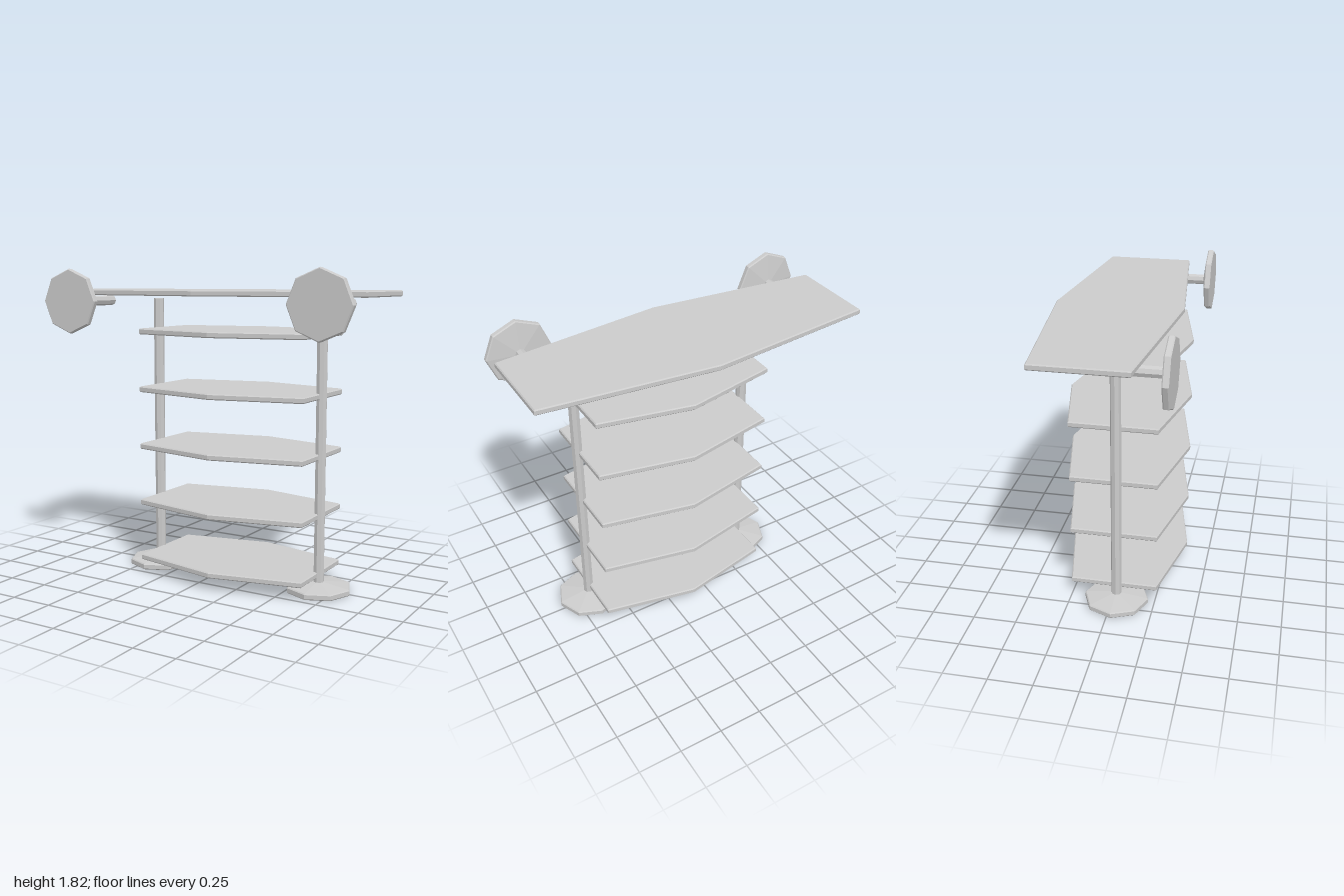
import * as THREE from 'three';

const material = new THREE.MeshStandardMaterial({ color: 0xcccccc, flatShading: true });

function addMesh(parent, name, geometry) {
  const mesh = new THREE.Mesh(geometry, material);
  mesh.name = name;
  parent.add(mesh);
  return mesh;
}

// Six-sided board: straight ends, pointed middle at front and back, softened rim
function boardGeometry(halfLength, endDepth, midDepth, thickness = 0.034, bevel = 0.006) {
  const shape = new THREE.Shape([
    [-halfLength, -endDepth], [0, -midDepth], [halfLength, -endDepth],
    [halfLength, endDepth], [0, midDepth], [-halfLength, endDepth],
  ].map(([x, y]) => new THREE.Vector2(x, y)));
  const geometry = new THREE.ExtrudeGeometry(shape, {
    depth: thickness - 2 * bevel,
    bevelThickness: bevel, bevelSize: bevel, bevelOffset: -bevel, bevelSegments: 1,
  });
  geometry.rotateX(Math.PI / 2);
  geometry.translate(0, thickness / 2 - bevel, 0);
  return geometry;
}

// Octagonal pole rising from a shallow cone-backed disc
function discPole(name, discName, poleName, length) {
  const group = new THREE.Group();
  group.name = name;
  const profile = [
    [0, 0], [0.184, 0], [0.19, 0.006], [0.19, 0.03], [0.184, 0.036], [0.03, 0.056], [0, 0.056],
  ].map(([r, y]) => new THREE.Vector2(r, y));
  addMesh(group, discName, new THREE.LatheGeometry(profile, 8));
  const pole = addMesh(group, poleName, new THREE.CylinderGeometry(0.031, 0.031, length - 0.04, 8));
  pole.position.y = (length + 0.04) / 2;
  return group;
}

export function createModel() {
  const model = new THREE.Group();
  model.name = 'shelfRack';

  // Two uprights on octagonal feet
  for (const [side, x] of [['right', -0.422], ['left', 0.663]]) {
    const upright = discPole(`${side}Upright`, 'foot', 'post', 1.645);
    upright.position.set(x, 0.003, 0.025);
    model.add(upright);
  }

  // Five evenly spaced shelves
  const shelfGeometry = boardGeometry(0.535, 0.255, 0.366);
  for (let i = 0; i < 5; i++) {
    const shelf = addMesh(model, `shelf${i + 1}`, shelfGeometry);
    shelf.position.set(0.13, 0.1 + i * 0.34, 0.004);
  }

  // Wide top board
  const top = addMesh(model, 'topBoard', boardGeometry(1, 0.256, 0.365));
  top.position.set(0, 1.684, -0.035);

  // Pair of forward-facing discs on short rods under the top board
  for (const [side, x] of [['right', -0.81], ['left', 0.81]]) {
    const arm = discPole(`${side}Arm`, 'frontDisc', 'rod', 0.417);
    arm.rotation.x = -Math.PI / 2;
    arm.position.set(x, 1.632, 0.397);
    model.add(arm);
  }

  return model;
}
